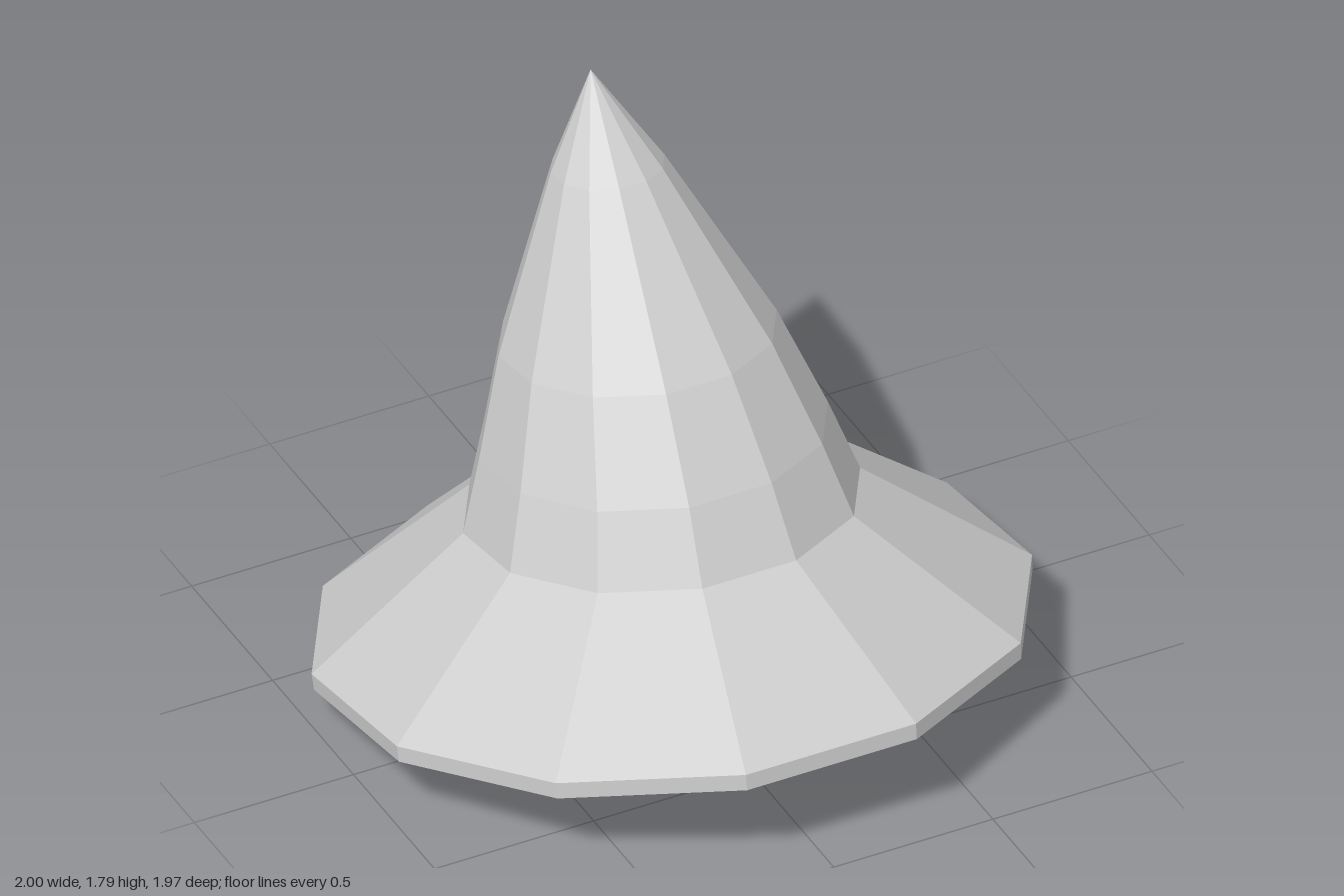
import * as THREE from 'three';

const SIDES = 12;

// Twelve-sided skin through rings given as [apothem, height, forward shift]
function ringSkin(name, rings, material) {
  const points = rings.map(([a, y]) => new THREE.Vector2(a / Math.cos(Math.PI / SIDES), y));
  const geometry = new THREE.LatheGeometry(points, SIDES, Math.PI / SIDES);
  const pos = geometry.attributes.position;
  for (let i = 0; i < pos.count; i++) {
    pos.setZ(i, pos.getZ(i) + (rings[i % rings.length][2] ?? 0));
  }
  geometry.computeVertexNormals();
  const mesh = new THREE.Mesh(geometry, material);
  mesh.name = name;
  return mesh;
}

export function createModel() {
  const felt = new THREE.MeshStandardMaterial({ color: 0xcccccc, flatShading: true });
  felt.name = 'grey felt';

  const hat = new THREE.Group();
  hat.name = 'hat';

  // Hollow underside with a flat ceiling
  hat.add(ringSkin('underside', [[0, 0.26], [0.55, 0.26], [0.77, 0.15], [0.995, 0]], felt));
  // Thin rim edge and sloping brim
  hat.add(ringSkin('brimEdge', [[0.995, 0], [0.998, 0.05]], felt));
  hat.add(ringSkin('brim', [[0.998, 0.05], [0.55, 0.411]], felt));
  // Crown leaning backwards to a point
  hat.add(ringSkin('crown', [
    [0.55, 0.411, 0],
    [0.483, 0.627, -0.013],
    [0.385, 0.915, -0.061],
    [0.158, 1.405, -0.162],
    [0, 1.679, -0.22],
  ], felt));

  // Whole hat tilts back
  hat.rotation.x = -0.176;
  hat.position.set(0, 0.175, 0.009);

  const model = new THREE.Group();
  model.name = 'pointedHat';
  model.add(hat);
  return model;
}
